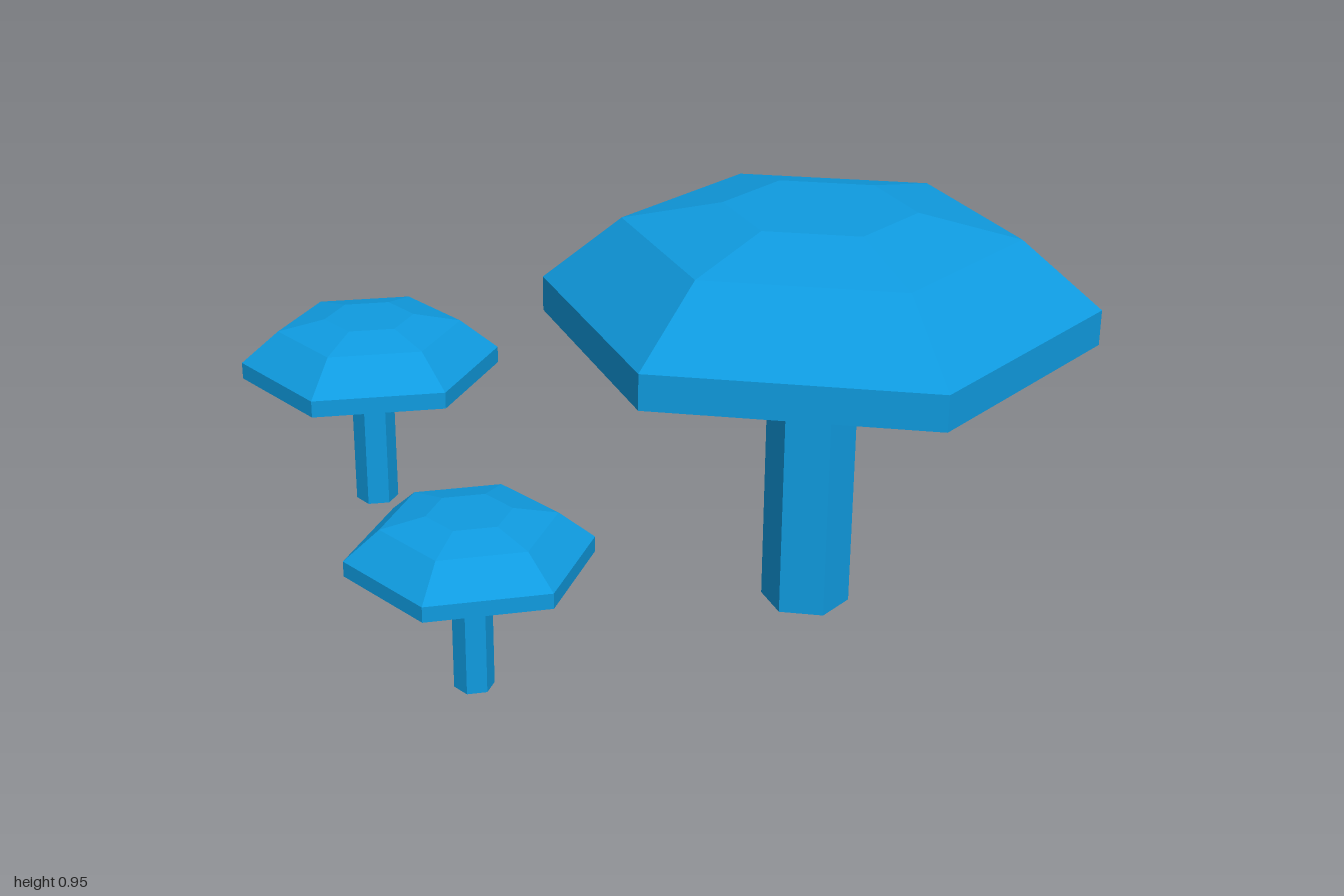
import * as THREE from 'three';

const SIDES = 6;

// Cap profile of the full-size mushroom, from the stem outward and up to the crown
const CAP_PROFILE = [
  [0.1, 0.57],
  [0.617, 0.675],
  [0.617, 0.755],
  [0.437, 0.905],
  [0.213, 0.953],
  [0, 0.953],
].map(([r, y]) => new THREE.Vector2(r, y));

function createMushroom(name, material) {
  const mushroom = new THREE.Group();
  mushroom.name = name;

  // Faceted cap
  const cap = new THREE.Mesh(new THREE.LatheGeometry(CAP_PROFILE, SIDES), material);
  cap.name = 'cap';

  // Straight hexagonal stem
  const height = 0.575;
  const stem = new THREE.Mesh(new THREE.CylinderGeometry(0.102, 0.102, height, SIDES), material);
  stem.name = 'stem';
  stem.position.y = height / 2;

  mushroom.add(cap, stem);
  return mushroom;
}

export function createModel() {
  const model = new THREE.Group();
  model.name = 'mushroomCluster';
  const blue = new THREE.MeshStandardMaterial({ color: 0x0f9be0, flatShading: true });

  // One mushroom shape at three sizes and turns
  const placements = [
    { name: 'largeMushroom', x: 0.23, z: 0.414, scale: 1, turn: 40 },
    { name: 'mediumMushroom', x: -0.235, z: -0.68, scale: 0.519, turn: 0 },
    { name: 'smallMushroom', x: -0.603, z: 0.243, scale: 0.435, turn: 2.6 },
  ];
  for (const { name, x, z, scale, turn } of placements) {
    const mushroom = createMushroom(name, blue);
    mushroom.position.set(x, 0, z);
    mushroom.scale.setScalar(scale);
    mushroom.rotation.y = THREE.MathUtils.degToRad(turn);
    model.add(mushroom);
  }
  return model;
}
